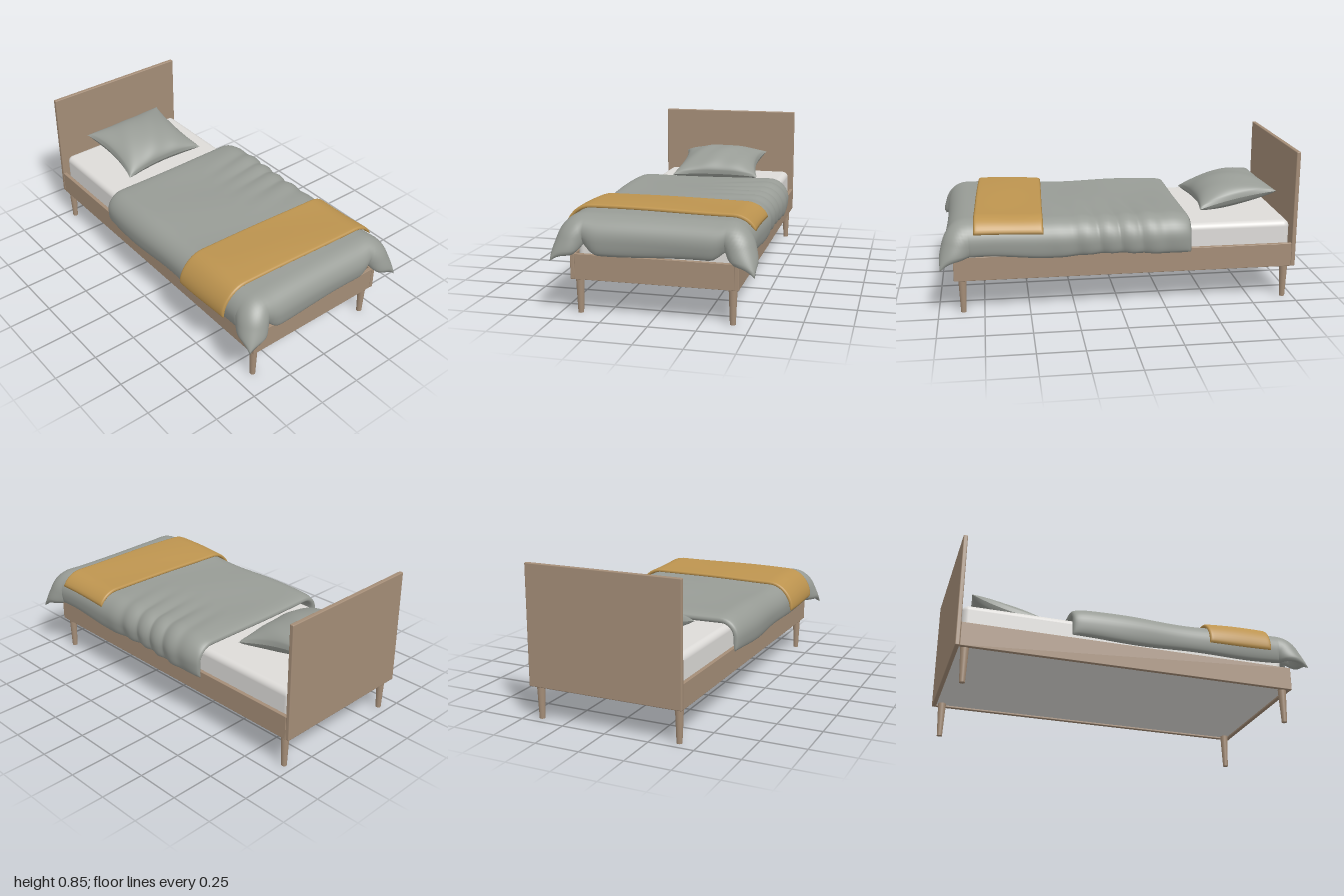
import * as THREE from 'three';
import { mergeVertices } from 'three/addons/utils/BufferGeometryUtils.js';
import { RoundedBoxGeometry } from 'three/addons/geometries/RoundedBoxGeometry.js';

const material = (name, color) => {
  const m = new THREE.MeshStandardMaterial({ color });
  m.name = name;
  return m;
};
const CX = 0.005;

// Normal of a surface(u, v), u running along +x and v along +z
function normalAt(surface, u, v) {
  const e = 0.004;
  const du = surface(u + e, v).sub(surface(u - e, v));
  const dv = surface(u, v + e).sub(surface(u, v - e));
  return dv.cross(du).normalize();
}

// Padded cloth: a middle surface over u, v in -1..1, thickened both ways
function padded(surface, halfThickness, nu, nv, softRim = true) {
  const pos = [], index = [];
  for (const side of [1, -1]) {
    const base = pos.length / 3;
    for (let i = 0; i <= nu; i++) {
      for (let j = 0; j <= nv; j++) {
        // Rows are packed closer together near the rim
        const ease = (q) => 0.5 * q + 0.5 * Math.sin(q * Math.PI / 2);
        const u = ease(2 * i / nu - 1), v = ease(2 * j / nv - 1);
        const p = surface(u, v).addScaledVector(normalAt(surface, u, v), side * halfThickness(u, v));
        pos.push(p.x, p.y, p.z);
        if (i < nu && j < nv) {
          const a = base + i * (nv + 1) + j, b = a + 1, d = a + nv + 1, c = d + 1;
          if (side > 0) index.push(a, b, d, b, c, d);
          else index.push(a, d, b, b, d, c);
        }
      }
    }
  }
  let g = new THREE.BufferGeometry();
  g.setAttribute('position', new THREE.Float32BufferAttribute(pos, 3));
  g.setIndex(index);
  if (softRim) g = mergeVertices(g, 1e-5);
  g.computeVertexNormals();
  return g;
}

// Rounded rim for cloth of half thickness h
const rim = (h, power) => (u, v) =>
  h * Math.sqrt(Math.max(0, (1 - Math.abs(u) ** power) * (1 - Math.abs(v) ** power)));

// Flat cloth point (X, Z) laid over the mattress, falling over the sides and foot
function drape(X, Z) {
  const R = 0.09, HANG = 0.22, sx = Math.sign(X), ax = Math.abs(X);
  const a = Math.max(0, ax - 0.38), b = Math.max(0, Z - 0.83);
  const d = (a ** 4 + b ** 4) ** 0.25, len = Math.hypot(a, b) || 1;
  const arc = Math.min(d, R * Math.PI / 2), angle = arc / R;
  const rest = (d - arc) * (1 + 0.08 * Math.sin(9 * Z + 7 * X));

  // Broad waves, plus creases on the left half
  const crease = THREE.MathUtils.smoothstep(X, 0, 0.45) * Math.exp(-(((Z - 0.02) / 0.3) ** 4));
  const wave = 0.004 * Math.sin(6 * X + 4 * Z) + 0.003 * Math.sin(11 * Z - 5 * X)
    + 0.007 * crease * Math.sin(42 * Z + 9 * X + 2 * Math.sin(7 * Z));

  // Corners flare outward, with a tuck beside each one
  const corner = 2 * a * b / (len * len);
  const out = R * Math.sin(angle) + 0.08 * corner * (d / HANG) ** 2 + wave * Math.sin(angle);
  const tuck = Math.exp(-(((ax - 0.37) / 0.04) ** 2)) * (b / HANG) ** 2;
  return new THREE.Vector3(
    0.008 + sx * (Math.min(ax, 0.38) + out * a / len),
    0.488 + 0.012 * THREE.MathUtils.smoothstep(Z, 0.3, 0.75)
      - R * (1 - Math.cos(angle)) - rest + wave * Math.cos(angle) + 0.05 * tuck,
    Math.min(Z, 0.83) + out * b / len - 0.035 * tuck);
}

export function createModel() {
  const wood = material('wood', 0xa48d77);
  const white = material('mattress white', 0xdddbd8);
  const grey = material('bedding grey', 0x989c96);
  const ochre = material('throw ochre', 0xbd944f);

  const bed = new THREE.Group();
  bed.name = 'bed';
  const add = (name, geometry, mat, x = 0, y = 0, z = 0) => {
    const mesh = new THREE.Mesh(geometry, mat);
    mesh.name = name;
    mesh.position.set(x, y, z);
    bed.add(mesh);
    return mesh;
  };

  // Frame
  add('headboard', new RoundedBoxGeometry(0.88, 0.66, 0.024, 2, 0.005), wood, CX, 0.52, -0.988);
  add('footRail', new RoundedBoxGeometry(0.836, 0.135, 0.022, 2, 0.002), wood, CX, 0.2575, 0.897);
  for (const [side, s] of [['left', 1], ['right', -1]]) {
    add(side + 'Rail', new RoundedBoxGeometry(0.022, 0.135, 1.886, 2, 0.003), wood,
      CX + s * 0.429, 0.2575, -0.033);
    for (const [end, z] of [['Front', 0.865], ['Back', -0.945]]) {
      add(side + end + 'Leg', new THREE.CylinderGeometry(0.023, 0.015, 0.2, 24), wood,
        CX + s * 0.403, 0.1, z);
    }
  }

  // Mattress and its base
  add('mattressBase', new THREE.BoxGeometry(0.836, 0.03, 1.862), white, CX, 0.215, -0.045);
  add('mattress', new RoundedBoxGeometry(0.82, 0.25, 1.845, 5, 0.035), white, CX, 0.325, -0.047);

  // Duvet
  const duvet = (u, v) => drape(0.6 * u, 0.33 + 0.72 * v);
  add('duvet', padded(duvet, rim(0.031, 14), 72, 90), grey);

  // Throw blanket, lying slightly askew on the duvet
  const duvetFlat = (x, z) => drape(x, z);
  const blanket = (u, v) => {
    const X = -0.035 + 0.515 * u, Z = 0.59 + 0.02 * u + 0.187 * v;
    const p = drape(X, Z).addScaledVector(normalAt(duvetFlat, X, Z), 0.043);
    p.x -= 0.012 * THREE.MathUtils.smoothstep(-u, 0.8, 1);
    return p;
  };
  add('throwBlanket', padded(blanket, rim(0.01, 30), 64, 32), ochre);

  // Pillow with pinched corners, leaning up toward the headboard
  const cushion = (u, v) => new THREE.Vector3(
    0.272 * u * (1 - 0.13 * (1 - v * v)),
    0.014 * (1 - u * u) * (1 - v * v),
    0.228 * v * (1 - 0.13 * (1 - u * u)));
  const plump = (u, v) => 0.088 * Math.max(0, (1 - u * u) * (1 - v * v)) ** 0.45
    * (1 + 0.03 * Math.sin(9 * u + 4 * v));
  const pillow = add('pillow', padded(cushion, plump, 40, 40, false), grey, CX, 0.538, -0.695);
  pillow.rotation.set(0.2, 0.03, 0);

  return bed;
}
